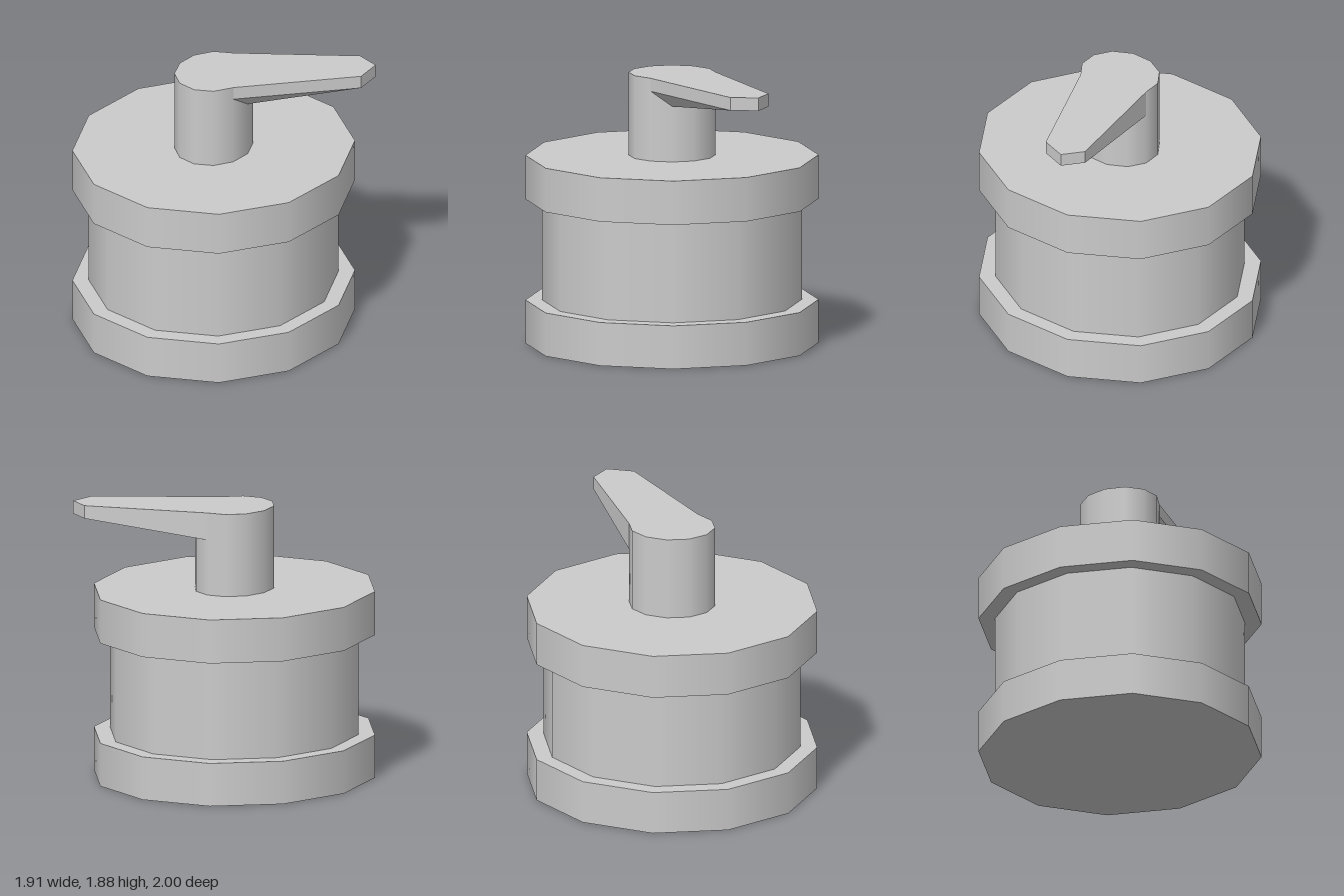
import * as THREE from 'three';

const material = new THREE.MeshStandardMaterial({ color: 0xcccccc });

// Twelve-sided drum with slightly different x and z radii
function drum(name, rx, rz, y0, y1) {
  const geometry = new THREE.CylinderGeometry(1, 1, y1 - y0, 12);
  geometry.scale(rx, 1, rz);
  const mesh = new THREE.Mesh(geometry, material);
  mesh.name = name;
  mesh.position.y = (y0 + y1) / 2;
  return mesh;
}

const TOP = 1.88, LIP = 1.79, ROOT = 1.69;
const POST_X = 0.26, POST_Z = 0.296;

// Tapered lever that grows out of the post and thins toward its tip
function lever() {
  // Plan points [x, z, underside y]: five on the post rim, then three at the tip
  const plan = [180, 150, 120, 90, 60].map((deg) => {
    const a = THREE.MathUtils.degToRad(deg);
    return [Math.sin(a) * POST_X, Math.cos(a) * POST_Z, deg === 60 ? LIP : ROOT];
  });
  plan.push([0.79, -0.65, LIP], [0.945, -0.58, LIP], [0.93, -0.39, LIP]);
  const upper = plan.map(([x, z]) => [x, TOP, z]);
  const lower = plan.map(([x, z, y]) => [x, y, z]);

  const positions = [];
  const tri = (a, b, c) => positions.push(...a, ...b, ...c);

  // Top and sloping underside
  const faces = [[0, 1, 5], [1, 2, 5], [2, 6, 5], [2, 3, 6], [3, 7, 6], [3, 4, 7]];
  for (const [a, b, c] of faces) {
    tri(upper[a], upper[b], upper[c]);
    tri(lower[a], lower[c], lower[b]);
  }
  // Side walls around the free edge
  const edge = [0, 5, 6, 7, 4];
  for (let i = 0; i < edge.length - 1; i++) {
    const a = edge[i], b = edge[i + 1];
    tri(upper[a], upper[b], lower[b]);
    tri(upper[a], lower[b], lower[a]);
  }

  const geometry = new THREE.BufferGeometry();
  geometry.setAttribute('position', new THREE.Float32BufferAttribute(positions, 3));
  geometry.computeVertexNormals();
  const mesh = new THREE.Mesh(geometry, material);
  mesh.name = 'lever';
  return mesh;
}

export function createModel() {
  const model = new THREE.Group();
  model.name = 'leverDrum';
  model.add(
    drum('baseFlange', 0.955, 1, 0, 0.3),
    drum('body', 0.845, 0.885, 0.3, 1.0),
    drum('topFlange', 0.955, 1, 1.0, 1.305),
    drum('post', POST_X, POST_Z, 1.305, TOP),
    lever()
  );
  return model;
}
